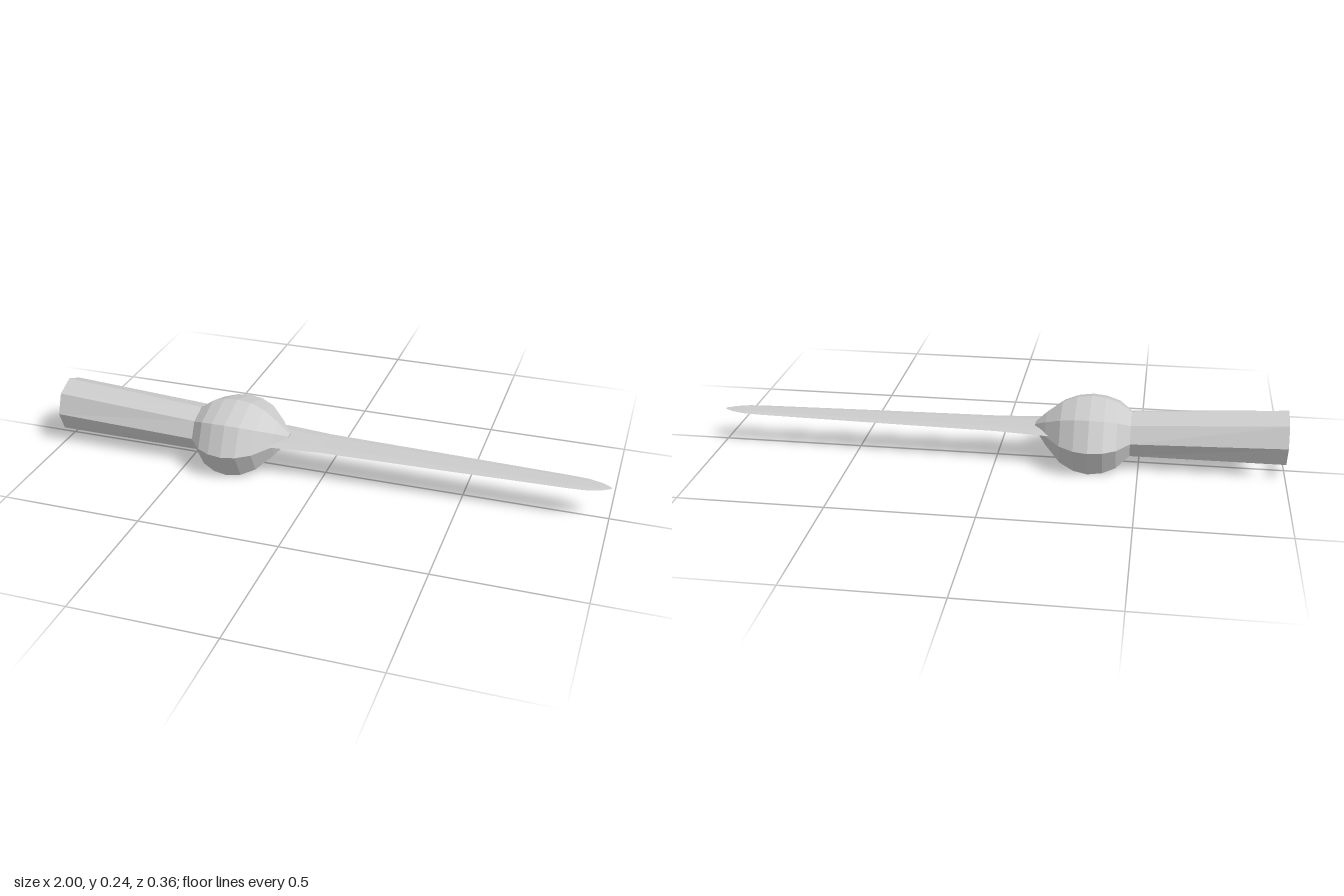
import * as THREE from 'three';

const material = new THREE.MeshStandardMaterial({
  color: 0xcccccc, flatShading: true, side: THREE.DoubleSide,
});

// Skin a list of equal-length cross-sections, each an array of [x, y, z]
function loft(name, sections) {
  const n = sections[0].length;
  const index = [];
  for (let i = 0; i < sections.length - 1; i++) {
    for (let j = 0; j < n - 1; j++) {
      const a = i * n + j, b = a + n;
      index.push(a, a + 1, b, b, a + 1, b + 1);
    }
  }
  const geometry = new THREE.BufferGeometry();
  geometry.setAttribute('position', new THREE.Float32BufferAttribute(sections.flat(2), 3));
  geometry.setIndex(index);
  geometry.computeVertexNormals();
  const mesh = new THREE.Mesh(geometry, material);
  mesh.name = name;
  return mesh;
}

// Part of an octagon across x, from corner k0 to k1 (corner 0 is the top)
function octagon({ x, y, rz, ry }, k0, k1) {
  const points = [];
  for (let k = k0; k <= k1; k++) {
    const a = k * Math.PI / 4;
    points.push([x, y + ry * Math.cos(a), rz * Math.sin(a)]);
  }
  return points;
}

export function createModel() {
  const model = new THREE.Group();

  // Handle: six-sided shell, open underneath and at the end
  const handleEnd = { x: -1, y: 0.125, rz: 0.1, ry: 0.1 };
  const handleFront = { x: -0.47, y: 0.11, rz: 0.1, ry: 0.08 };
  model.add(loft('handle', [handleEnd, handleFront].map((s) => octagon(s, -3, 3))));

  // Narrow band closing the underside at the handle end
  const bandFront = { ...handleEnd, x: -0.97 };
  model.add(loft('handleEndBand', [handleEnd, bandFront].map((s) => octagon(s, 3, 5))));

  // Guard: bulging shell, [x, half width]
  const guard = [
    [-0.47, 0.1], [-0.425, 0.15], [-0.38, 0.172], [-0.33, 0.18], [-0.28, 0.17],
    [-0.23, 0.141], [-0.175, 0.076], [-0.135, 0.018], [-0.135, 0],
  ].map(([x, r]) => ({ x, y: 0.122 - 0.12 * r, rz: r, ry: 0.785 * r }));
  model.add(loft('guard', guard.map((s) => octagon(s, -3, 3))));

  // Flat panel closing the underside at the front of the guard
  model.add(loft('guardFrontPanel', guard.slice(5).map((s) => {
    const shell = octagon(s, -3, 3);
    return [shell[6], shell[0]];
  })));

  // Blade: thin six-sided section, [x, half width, half thickness]
  const blade = [
    [-0.19, 0.09, 0.006], [-0.15, 0.087, 0.006], [0, 0.071, 0.005], [0.45, 0.058, 0.004],
    [0.86, 0.044, 0.004], [0.92, 0.039, 0.0035], [0.965, 0.025, 0.002],
    [0.99, 0.01, 0.001], [1, 0, 0],
  ];
  const outline = [[1, 0], [0.55, -1], [-0.55, -1], [-1, 0], [-0.55, 1], [0.55, 1], [1, 0]];
  model.add(loft('blade', blade.map(([x, w, t]) =>
    outline.map(([u, v]) => [x, 0.119 + v * t, u * w]))));

  return model;
}
